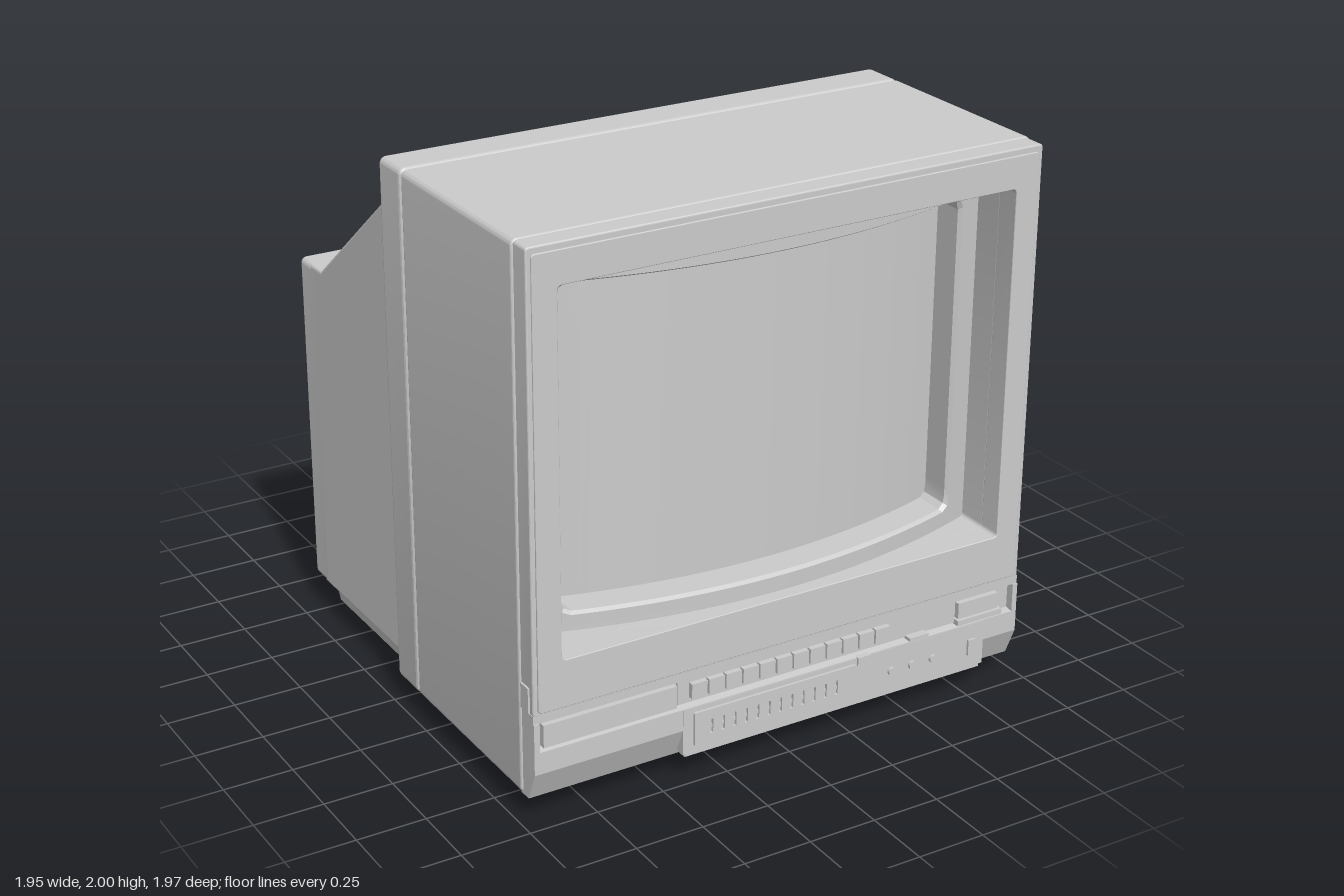
import * as THREE from 'three';
import { toCreasedNormals } from 'three/addons/utils/BufferGeometryUtils.js';

const grey = new THREE.MeshStandardMaterial({ color: 0xcccccc });

export function createModel() {
  const model = new THREE.Group();

  const add = (name, geometry, x = 0, y = 0, z = 0) => {
    const mesh = new THREE.Mesh(geometry, grey);
    mesh.name = name;
    mesh.position.set(x, y, z);
    model.add(mesh);
    return mesh;
  };
  // Box given by its limits on each axis
  const box = (name, x0, x1, y0, y1, z0, z1) =>
    add(name, new THREE.BoxGeometry(x1 - x0, y1 - y0, z1 - z0), (x0 + x1) / 2, (y0 + y1) / 2, (z0 + z1) / 2);

  // Rounded rectangle outline, also used for holes
  const roundRect = (x0, x1, y0, y1, r, Type = THREE.Shape) => {
    const s = new Type();
    s.moveTo(x0 + r, y0);
    s.lineTo(x1 - r, y0);
    s.absarc(x1 - r, y0 + r, r, -Math.PI / 2, 0);
    s.lineTo(x1, y1 - r);
    s.absarc(x1 - r, y1 - r, r, 0, Math.PI / 2);
    s.lineTo(x0 + r, y1);
    s.absarc(x0 + r, y1 - r, r, Math.PI / 2, Math.PI);
    s.lineTo(x0, y0 + r);
    s.absarc(x0 + r, y0 + r, r, Math.PI, Math.PI * 1.5);
    return s;
  };
  const roundHole = (x, y, r) => new THREE.Path(Array.from({ length: 32 }, (_, i) =>
    new THREE.Vector2(x + r * Math.cos(i * Math.PI / 16), y + r * Math.sin(i * Math.PI / 16))));

  // Extrusion from z0 to z1 with an edge rounding that stays inside those limits
  const extrude = (shape, z0, z1, bevel) => {
    const g = new THREE.ExtrudeGeometry(shape, {
      depth: z1 - z0 - 2 * bevel, bevelEnabled: bevel > 0, bevelThickness: bevel,
      bevelSize: bevel, bevelOffset: -bevel, bevelSegments: 3, curveSegments: 8,
    });
    g.translate(0, 0, z0 + bevel);
    return toCreasedNormals(g, 0.22);
  };
  // Side profile of (z, y) points, extruded across x
  const across = (points, x0, x1, bevel) =>
    extrude(new THREE.Shape(points.map(([z, y]) => new THREE.Vector2(-z, y))), x0, x1, bevel).rotateY(Math.PI / 2);

  // Cabinet, open at the front for the screen
  const opening = () => roundRect(-0.862, 0.862, 0.583, 1.857, 0.015, THREE.Path);
  const cabinet = roundRect(-0.975, 0.975, 0.083, 2, 0.025);
  cabinet.holes.push(opening());
  add('cabinet', extrude(cabinet, 0.15, 0.895, 0.008));
  add('rearRim', extrude(roundRect(-0.975, 0.975, 0.083, 2, 0.025), -0.015, 0.143, 0.015));
  box('cabinetSeam', -0.955, 0.955, 0.105, 1.985, 0.13, 0.17);

  // Front bezel around the screen, with a raised face
  for (const [name, x, y0, y1, z0, z1, b] of [
    ['bezel', 0.967, 0.4, 1.995, 0.885, 0.97, 0.006], ['bezelFace', 0.95, 0.412, 1.972, 0.96, 0.976, 0.003]]) {
    const shape = roundRect(-x, x, y0, y1, 0.012);
    shape.holes.push(opening());
    add(name, extrude(shape, z0, z1, b));
  }

  // Screen and its surround, both bowed forward at the middle
  const bow = (geometry) => {
    const p = geometry.attributes.position;
    for (let i = 0; i < p.count; i++) p.setZ(i, p.getZ(i) - 0.15 * (p.getX(i) / 0.865) ** 2);
    geometry.computeVertexNormals();
    return geometry;
  };
  // Surround: loops of jamb back, inner edge and outer edge
  const steps = 180;
  const inner = roundRect(-0.765, 0.765, 0.648, 1.787, 0.035).getSpacedPoints(steps);
  const outer = roundRect(-0.875, 0.875, 0.57, 1.87, 0.02).getSpacedPoints(steps);
  const surround = new THREE.PlaneGeometry(1, 1, steps, 3);
  [[inner, 0.76], [inner, 0.91], [inner, 0.925, 0.015], [outer, 0.925]].forEach(([loop, z, grow = 0], row) =>
    loop.forEach((p, i) => surround.attributes.position.setXYZ(row * (steps + 1) + i,
      p.x * (1 + grow), 1.2175 + (p.y - 1.2175) * (1 + grow), z)));
  add('screenSurround', toCreasedNormals(bow(surround), 0.3));
  add('screen', bow(new THREE.PlaneGeometry(1.6, 1.2, 32, 1).translate(0, 1.2175, 0.8)));

  // Control strip: sloping chin and a long recess
  add('controlStrip', across([[0.88, 0.083], [0.93, 0.083], [0.975, 0.19], [0.975, 0.27], [0.945, 0.275],
    [0.945, 0.37], [0.97, 0.375], [0.97, 0.405], [0.88, 0.405]], -0.967, 0.967, 0));
  for (const s of [1, -1]) {
    box('stripEnd', s * 0.957 - 0.01, s * 0.957 + 0.01, 0.27, 0.375, 0.92, 0.975);
    box('sideClip', s * 0.968 - 0.006, s * 0.968 + 0.006, 0.41, 0.5, 0.9, 0.95);
  }
  box('stripDoor', -0.93, -0.43, 0.28, 0.362, 0.93, 0.97);
  box('buttonBed', -0.42, 0.71, 0.28, 0.365, 0.93, 0.955);
  for (let i = 0; i < 12; i++) {
    const x = -0.375 + i * 0.067;
    box('channelButton', x, x + 0.06, 0.3, 0.355, 0.94, 0.975);
  }
  box('powerButton', 0.72, 0.89, 0.295, 0.355, 0.93, 0.965);
  box('powerButtonLedge', 0.71, 0.9, 0.275, 0.295, 0.93, 0.978);
  box('sensorTab', 0.5, 0.58, 0.276, 0.288, 0.94, 0.985);

  // Lower control panel with slotted sliders and knobs
  box('lowerPanel', -0.41, 0.825, 0.1, 0.268, 0.9, 0.977);
  box('panelFoot', -0.4, 0.815, 0.085, 0.12, 0.9, 0.97);
  const sliderPanel = roundRect(-0.37, 0.28, 0.125, 0.25, 0.006);
  for (let i = 0; i < 12; i++) {
    const x = -0.305 + i * 0.0455;
    sliderPanel.holes.push(roundRect(x - 0.006, x + 0.006, 0.158, 0.212, 0.002, THREE.Path));
    box('sliderTab', x - 0.004, x + 0.004, 0.178, 0.19, 0.97, 0.984);
  }
  add('sliderPanel', extrude(sliderPanel, 0.97, 0.987, 0));
  box('panelCatch', 0.285, 0.335, 0.24, 0.272, 0.95, 0.985);
  for (const x of [0.43, 0.517, 0.605]) {
    add('knob', new THREE.CylinderGeometry(0.015, 0.015, 0.03, 16).rotateX(Math.PI / 2), x, 0.18, 0.973);
  }
  box('panelSwitch', 0.755, 0.787, 0.15, 0.21, 0.95, 0.986);

  // Sloping rear shell: two rounded sides and a middle with a handle notch
  const slope = [[0.02, 1.9], [-0.63, 1.39], [-0.72, 1.39], [-0.72, 0.13], [0.02, 0.13]];
  add('rearShellLeft', across(slope, 0.28, 0.93, 0.012));
  add('rearShellRight', across(slope, -0.93, -0.285, 0.012));
  add('rearShellMiddle', across([[0.02, 1.902], [-0.05, 1.85], [-0.05, 1.59], [-0.31, 1.59], [-0.31, 1.645],
    [-0.63, 1.392], ...slope.slice(2)], -0.3, 0.3, 0));

  // Notch floor with a round pocket
  const floor = roundRect(-0.3, 0.3, 0.045, 0.315, 0.005);
  floor.holes.push(roundHole(0, 0.19, 0.062));
  add('notchFloor', extrude(floor, 0, 0.045, 0).rotateX(-Math.PI / 2), 0, 1.597, 0);

  // Rear panel with a round recess and a socket recess
  const panel = roundRect(-0.93, 0.93, 0.13, 1.39, 0.022);
  panel.holes.push(roundHole(0.78, 1.02, 0.09));
  panel.holes.push(roundRect(-0.84, -0.63, 0.17, 0.32, 0.01, THREE.Path));
  add('rearPanel', extrude(panel, -0.803, -0.68, 0.014));
  add('aerialSocket', new THREE.CylinderGeometry(0.03, 0.03, 0.06, 20).rotateX(Math.PI / 2), -0.74, 0.24, -0.75);

  // Housing over the neck of the picture tube
  add('tubeHousing', across([[-0.35, 1.545], [-0.62, 1.545], [-0.987, 1.395], [-0.987, 0.445], [-0.35, 0.445]],
    -0.397, 0.397, 0.014));

  // Cord hooks, wound power cord and plug
  for (const s of [1, -1]) {
    for (const y of [0.21, 0.28]) box('cordHook', s * 0.4 - 0.015, s * 0.4 + 0.015, y, y + 0.02, -0.95, -0.79);
    box('cordHookEnd', s * 0.42 - 0.04, s * 0.42 + 0.04, 0.2, 0.305, -0.96, -0.942);
  }
  const tube = (name, points, closed) => add(name, new THREE.TubeGeometry(
    new THREE.CatmullRomCurve3(points.map((p) => new THREE.Vector3(...p)), closed), 64, 0.008, 8, closed));
  for (let i = 0; i < 3; i++) {
    const z = -0.835 - i * 0.03, d = 0.01 * i;
    tube('cordLoop', [[-0.38, 0.32 + d, z], [0, 0.27 + d, z], [0.38, 0.33 + d, z], [0.415, 0.25, z - 0.01],
      [0.38, 0.18 - d, z], [0, 0.2 - d, z], [-0.38, 0.17 - d, z], [-0.415, 0.25, z - 0.01]], true);
  }
  tube('cordLead', [[-0.38, 0.33, -0.825], [-0.5, 0.3, -0.812], [-0.62, 0.27, -0.81], [-0.74, 0.24, -0.77]], false);
  add('plug', new THREE.BoxGeometry(0.09, 0.09, 0.04), -0.12, 0.24, -0.88).rotation.z = Math.PI / 4;

  // Base tray in two parts, and feet
  const tray = (z0, z1, top) => add('baseTray', extrude(new THREE.Shape([[-0.87, 0.032], [0.87, 0.032],
    [0.89, top], [-0.89, top]].map(([x, y]) => new THREE.Vector2(x, y))), z0, z1, 0));
  tray(0.135, 0.82, 0.1);
  tray(-0.725, 0.125, 0.14);
  for (const s of [1, -1]) {
    for (const [z, w, d] of [[0.51, 0.085, 0.07], [-0.5, 0.07, 0.035]]) {
      const foot = new THREE.CylinderGeometry(Math.SQRT2, Math.SQRT2 * 0.8, 0.04, 4).rotateY(Math.PI / 4);
      add('foot', foot.scale(w, 1, d).toNonIndexed(), s * 0.535, 0.02, z).geometry.computeVertexNormals();
    }
  }
  return model;
}
